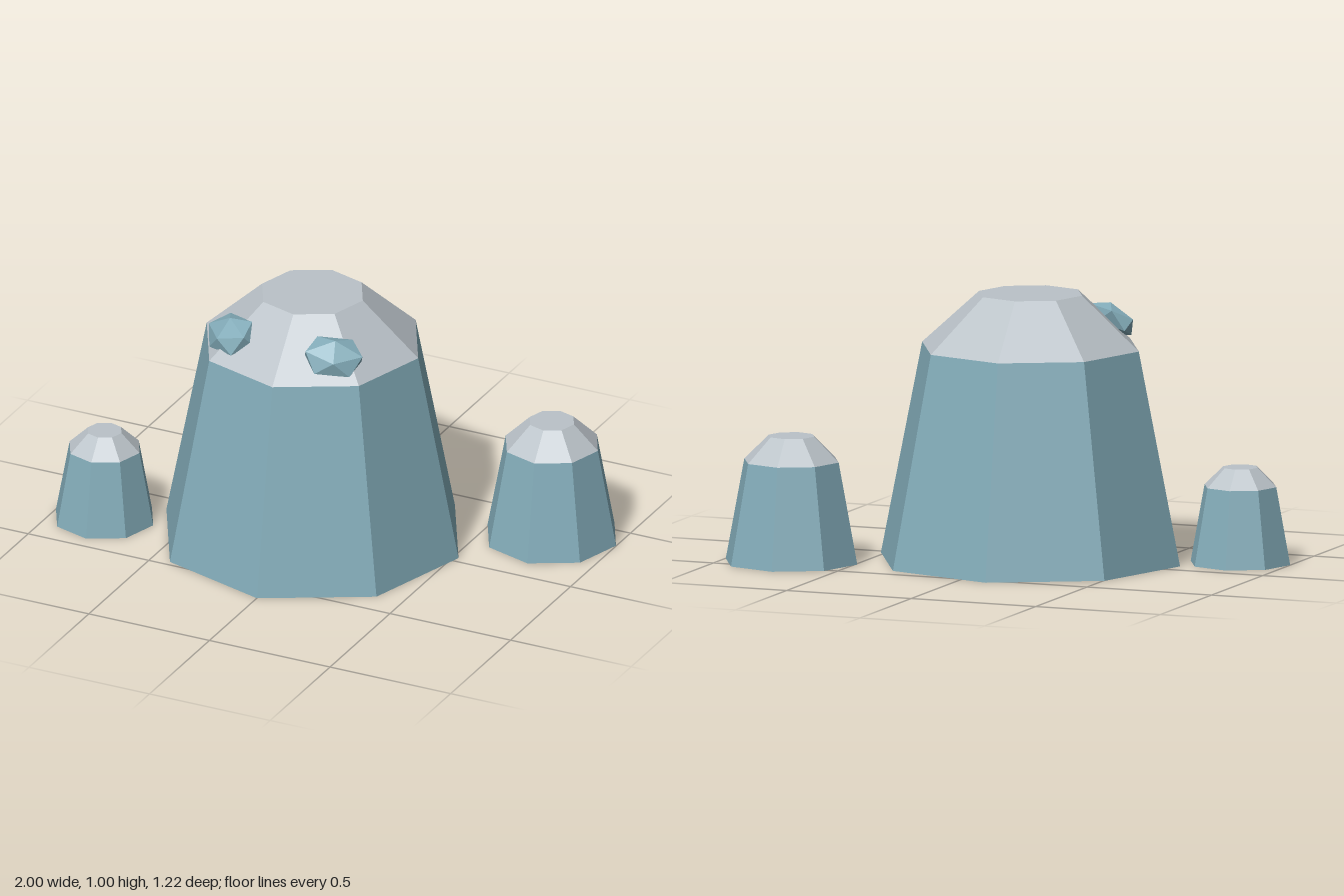
import * as THREE from 'three';

const teal = new THREE.MeshStandardMaterial({ color: 0x82abb8 });
teal.name = 'tealStone';
const grey = new THREE.MeshStandardMaterial({ color: 0xbac2c8 });
grey.name = 'greyCap';

// Eight-sided frustum with flat faces, standing between heights y0 and y1
function frustum(name, material, r0, r1, y0, y1) {
  const geometry = new THREE.CylinderGeometry(r1, r0, y1 - y0, 8, 1, false, 0.098).toNonIndexed();
  geometry.computeVertexNormals();
  geometry.translate(0, (y0 + y1) / 2, 0);
  const mesh = new THREE.Mesh(geometry, material);
  mesh.name = name;
  return mesh;
}

// Tapered stone body with a bevelled grey cap
function peak(name, x, z, radii, heights) {
  const group = new THREE.Group();
  group.name = name;
  group.add(
    frustum(name + 'Body', teal, radii[0], radii[1], 0, heights[0]),
    frustum(name + 'Cap', grey, radii[1], radii[2], heights[0], heights[1])
  );
  group.position.set(x, 0, z);
  return group;
}

// Flattened faceted stone lying on the sloping cap
function gem(side) {
  const geometry = new THREE.IcosahedronGeometry(1, 0);
  geometry.scale(0.125, 0.088, 0.053);
  geometry.computeVertexNormals();
  const mesh = new THREE.Mesh(geometry, teal);
  mesh.name = side > 0 ? 'leftGem' : 'rightGem';
  mesh.rotation.set(-0.8, side * 0.56, -side * 0.15, 'YXZ');
  mesh.position.set(-0.064 + side * 0.213, 0.882, 0.265);
  return mesh;
}

export function createModel() {
  const model = new THREE.Group();
  model.name = 'rockPeaks';
  model.add(
    peak('mainPeak', -0.056, 0.028, [0.58, 0.42, 0.2], [0.8, 1]),
    peak('leftPeak', 0.745, -0.357, [0.255, 0.183, 0.088], [0.38, 0.473]),
    peak('rightPeak', -0.808, 0.249, [0.193, 0.139, 0.067], [0.29, 0.36]),
    gem(1),
    gem(-1)
  );
  return model;
}
